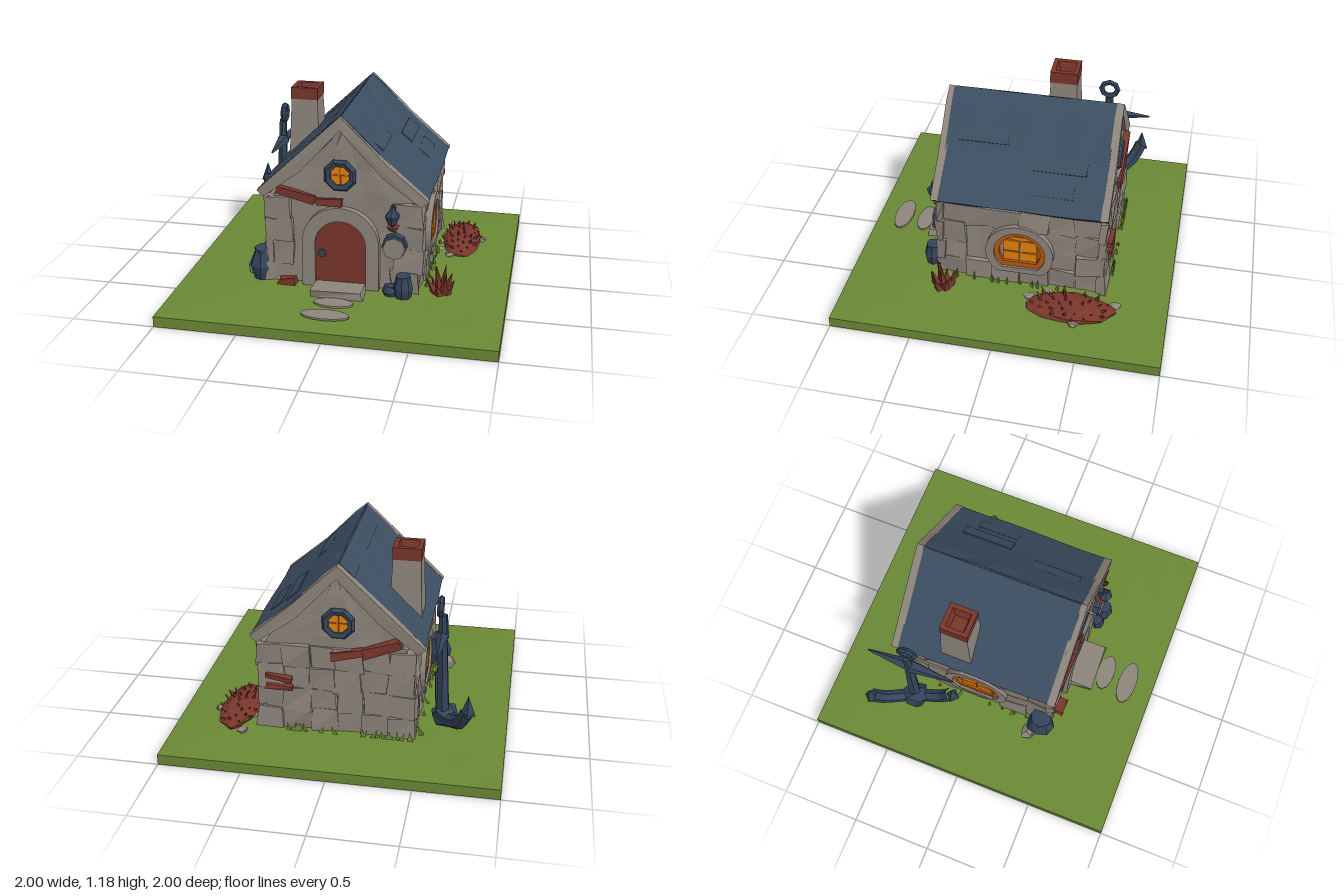
import * as THREE from 'three';

const mat = (name, color, extra = {}) => {
  const m = new THREE.MeshStandardMaterial({ color, flatShading: true, ...extra });
  m.name = name;
  return m;
};
const stone = mat('stone grey', 0x8f867d);
const slate = mat('slate blue', 0x3d4e62);
const iron = mat('dark iron blue', 0x34445a);
const red = mat('brick red', 0x7a362c);
const amber = mat('amber glow', 0xe8830f);
const amberDark = mat('deep amber', 0xb55a0c);
const grass = mat('grass green', 0x6b8935);

// Repeatable pseudo random value for any number
const hash = (n) => {
  const s = Math.sin(n * 127.1 + 3.7) * 43758.5453;
  return s - Math.floor(s);
};

// Roughens a geometry; coincident corners move together
function rough(geo, amount, seed = 0) {
  const p = geo.attributes.position;
  for (let i = 0; i < p.count; i++) {
    const [x, y, z] = [p.getX(i), p.getY(i), p.getZ(i)];
    const k = Math.round(x * 1000) * 0.013 + Math.round(y * 1000) * 0.037 + Math.round(z * 1000) * 0.071 + seed;
    const d = (o) => (hash(k + o) - 0.5) * 2 * amount;
    p.setXYZ(i, x + d(1.3), y + d(5.1), z + d(9.7));
  }
  geo.computeVertexNormals();
  return geo;
}

function add(parent, name, geo, material, x = 0, y = 0, z = 0) {
  const m = new THREE.Mesh(geo, material);
  m.name = name;
  m.position.set(x, y, z);
  parent.add(m);
  return m;
}

const block = (w, h, d, seed, amount = 0.012) => rough(new THREE.BoxGeometry(w, h, d), amount, seed);
const extrude = (shape, depth, steps = 1) =>
  new THREE.ExtrudeGeometry(shape, { depth, steps, bevelEnabled: false, curveSegments: 10 });
const polygon = (pts) => new THREE.Shape(pts.map(([x, y]) => new THREE.Vector2(x, y)));

// Doorway outline with a round top
function arch(w, h) {
  const s = new THREE.Shape();
  s.moveTo(-w, 0).lineTo(w, 0).lineTo(w, h - w).absarc(0, h - w, w, 0, Math.PI, false);
  s.lineTo(-w, 0);
  return s;
}
// Circle with a flat bottom
function flatRound(r, cut) {
  const a = Math.asin(cut / r);
  const s = new THREE.Shape();
  s.absarc(0, 0, r, -a, Math.PI + a, false);
  s.closePath();
  return s;
}
function frame(outer, inner, depth) {
  outer.holes.push(inner);
  return extrude(outer, depth);
}

function ground(g) {
  const geo = new THREE.BoxGeometry(2, 0.066, 2, 10, 1, 10);
  const p = geo.attributes.position;
  for (let i = 0; i < p.count; i++) {
    const edge = Math.max(Math.abs(p.getX(i)), Math.abs(p.getZ(i)));
    if (p.getY(i) > 0) p.setY(i, p.getY(i) + 0.035 * Math.min(1, (1 - edge) * 1.6));
  }
  add(g, 'ground', geo, [grass, grass, grass, stone, grass, grass], 0, 0.033, 0);
  // Path stones
  [[0, 0.67, 0.12, 0.055], [-0.015, 0.825, 0.145, 0.06]].forEach(([x, z, rx, rz]) => {
    add(g, 'pathStone', new THREE.CylinderGeometry(1, 1, 0.012, 14), stone, x, 0.091, z).scale.set(rx, 1, rz);
  });
  add(g, 'doorStep', block(0.32, 0.04, 0.17, 2, 0.01), stone, 0, 0.105, 0.525);
}

function walls(g) {
  // Core with gable ends, narrowing under the roof
  const geo = new THREE.BoxGeometry(1, 1, 1, 6, 8, 8);
  const p = geo.attributes.position;
  for (let i = 0; i < p.count; i++) {
    const y = 0.08 + (p.getY(i) + 0.5) * 1.02;
    const half = y < 0.66 ? 0.45 + 0.02 * (0.66 - y) : 0.45 * (1.11 - y) / 0.45;
    p.setXYZ(i, p.getX(i) * 2 * half + 0.01, y, p.getZ(i) * 1.01 - 0.075);
  }
  add(g, 'wallCore', rough(geo, 0.007), stone);
  // Rough stone slabs on every side, leaving the openings free
  const free = {
    front: (u, y) => Math.abs(u) < 0.25,
    back: () => false,
    side: (u, y) => Math.abs(u) < 0.25 && y > 0.17 && y < 0.52,
  };
  const faces = [['front', 0, 0.01, 0.425, 0.94], ['back', Math.PI, 0.01, -0.575, 0.94],
    ['side', Math.PI / 2, 0.455, -0.07, 1.02], ['side', -Math.PI / 2, -0.435, -0.07, 1.02]];
  faces.forEach(([kind, turn, cx, cz, width], f) => {
    const side = new THREE.Group();
    side.name = kind + 'Stones';
    side.position.set(cx, 0, cz);
    side.rotation.y = turn;
    g.add(side);
    for (let row = 0; row < 4; row++) for (let c = 0; c < 6; c++) {
      const y = 0.155 + row * 0.14, seed = f * 50 + row * 7 + c;
      const u = (c - 2.5) * width / 6 + (hash(seed) - 0.5) * 0.02;
      if (free[kind](u, y)) continue;
      const depth = 0.025 + 0.03 * hash(seed + 0.5) + (3 - row) * 0.005;
      add(side, 'wallStone', block(width / 6 + 0.01, 0.15, depth, seed, 0.013), stone, u, y, 0);
    }
  });
}

function roof(g) {
  const chevron = (t, lift = 0) => polygon([[-0.51, 0.69 + lift], [-0.47, 0.65 + lift],
    [-0.24, 0.895 - t], [0, 1.155 - t], [0.25, 0.885 - t], [0.485, 0.65 + lift], [0.525, 0.69 + lift],
    [0.27, 0.91 + lift], [0.07, 1.11 + lift], [0, 1.172 + lift], [-0.07, 1.11 + lift], [-0.27, 0.92 + lift]]);
  add(g, 'roof', rough(extrude(chevron(0.03), 0.99, 6), 0.004), slate, 0, 0, -0.56);
  [0.42, -0.603].forEach((z) => {
    add(g, 'bargeBoard', rough(extrude(chevron(0.065), 0.045), 0.004), stone, 0, 0, z);
  });
  // Ridge lap and loose slates
  const lap = add(g, 'ridgeLap', new THREE.BoxGeometry(0.12, 0.018, 0.98), slate, -0.045, 1.123, -0.065);
  lap.rotation.z = 0.75;
  [[0.3, -0.28, 0.32], [0.41, -0.25, 0.26], [0.2, 0.2, 0.3]].forEach(([x, z, len]) => {
    const s = add(g, 'looseSlate', new THREE.BoxGeometry(0.09, 0.014, len), slate, x, 1.158 - x * 0.91, z);
    s.rotation.z = -0.7;
  });
}

function chimney(g) {
  const stack = new THREE.CylinderGeometry(0.118, 0.142, 0.4, 4);
  add(g, 'chimneyStack', stack.rotateY(Math.PI / 4), stone, -0.355, 0.9, -0.195);
  // Hollow square cap
  const profile = [[0.07, 0], [0.122, 0], [0.122, 0.075], [0.082, 0.075], [0.06, 0.01], [0, 0.01]];
  const cap = new THREE.LatheGeometry(profile.map(([x, y]) => new THREE.Vector2(x, y)), 4);
  add(g, 'chimneyCap', cap.rotateY(Math.PI / 4), red, -0.355, 1.098, -0.195);
}

function openings(g) {
  // Door in its stone arch
  add(g, 'doorFrame', frame(arch(0.235, 0.52), arch(0.155, 0.435), 0.055), stone, 0, 0.095, 0.42);
  add(g, 'door', extrude(arch(0.157, 0.437), 0.04), red, 0, 0.095, 0.415);
  add(g, 'doorHandle', new THREE.CylinderGeometry(0.026, 0.026, 0.012, 8).rotateX(Math.PI / 2), iron, -0.115, 0.31, 0.458);
  // Gable portholes
  [[0.425, 0], [-0.575, Math.PI]].forEach(([z, turn]) => {
    const w = new THREE.Group();
    w.name = 'gableWindow';
    w.position.set(-0.005, 0.81, z);
    w.rotation.y = turn;
    add(w, 'rim', new THREE.TorusGeometry(0.08, 0.024, 5, 8).rotateZ(Math.PI / 8), iron, 0, 0, 0.015);
    add(w, 'pane', new THREE.CylinderGeometry(0.07, 0.07, 0.03, 8).rotateX(Math.PI / 2), amber);
    for (const r of [0, Math.PI / 2]) add(w, 'bar', new THREE.BoxGeometry(0.13, 0.008, 0.008), amberDark, 0, 0, 0.016).rotation.z = r;
    g.add(w);
  });
  // Large side windows
  [[0.455, 1], [-0.435, -1]].forEach(([x, s]) => {
    const w = new THREE.Group();
    w.name = 'sideWindow';
    w.position.set(x, 0.335, -0.07);
    w.rotation.y = s * Math.PI / 2;
    add(w, 'stoneFrame', frame(flatRound(0.21, 0.15), flatRound(0.16, 0.112), 0.05), stone);
    add(w, 'innerRim', frame(flatRound(0.162, 0.113), flatRound(0.128, 0.075), 0.035), amberDark);
    add(w, 'backPane', extrude(flatRound(0.13, 0.08), 0.014), amberDark);
    for (const px of [-0.054, 0.054]) for (const [py, h] of [[-0.038, 0.062], [0.042, 0.08]])
      add(w, 'pane', new THREE.BoxGeometry(0.1, h, 0.012), amber, px, py, 0.018);
    add(w, 'topPane', new THREE.BoxGeometry(0.12, 0.022, 0.012), amber, 0, 0.1, 0.016);
    g.add(w);
  });
}

function planks(g) {
  const data = [[-0.27, 0.675, 0.452, 0.24, 0.055, -0.25], [-0.07, 0.645, 0.452, 0.16, 0.045, 0.03],
    [-0.26, 0.675, -0.6, 0.24, 0.05, -0.38], [-0.06, 0.62, -0.6, 0.2, 0.05, -0.25],
    [0.35, 0.43, -0.606, 0.16, 0.03, 0.1], [0.35, 0.37, -0.608, 0.16, 0.03, 0]];
  data.forEach(([x, y, z, w, h, r], i) => {
    add(g, 'wallPlank', block(w, h, 0.04, i + 80, 0.007), red, x, y, z).rotation.z = r;
  });
}

function frontDetails(g) {
  // Lantern and round shield on the front wall
  const lantern = [[0, -0.06], [0.03, -0.03], [0.048, 0.015], [0.02, 0.05], [0.012, 0.08], [0, 0.085]];
  add(g, 'lantern', new THREE.LatheGeometry(lantern.map(([x, y]) => new THREE.Vector2(x, y)), 6), iron, 0.32, 0.59, 0.5);
  add(g, 'lanternBracket', new THREE.BoxGeometry(0.025, 0.025, 0.09), iron, 0.32, 0.64, 0.46);
  add(g, 'lanternShelf', new THREE.CylinderGeometry(0.04, 0.025, 0.025, 6), red, 0.32, 0.518, 0.48);
  add(g, 'shieldRim', new THREE.CylinderGeometry(0.076, 0.076, 0.05, 8).rotateX(Math.PI / 2), iron, 0.33, 0.405, 0.472);
  add(g, 'shieldFace', new THREE.CylinderGeometry(0.068, 0.07, 0.03, 8).rotateX(Math.PI / 2), stone, 0.33, 0.395, 0.492);
  // Barrel and pot
  const bulge = (r, h) => new THREE.LatheGeometry([[0, 0], [r * 0.8, 0], [r, h * 0.45], [r * 0.75, h * 0.88], [r * 0.75, h], [0, h]]
    .map(([x, y]) => new THREE.Vector2(x, y)), 8);
  add(g, 'barrel', bulge(0.06, 0.14), iron, 0.39, 0.09, 0.505);
  add(g, 'fallenBucket', rough(bulge(0.045, 0.07), 0.006), iron, 0.31, 0.085, 0.49);
  add(g, 'pot', rough(bulge(0.088, 0.2), 0.008), iron, -0.5, 0.09, 0.39);
  add(g, 'potStone', rough(new THREE.DodecahedronGeometry(0.05), 0.01), stone, -0.575, 0.12, 0.33);
  add(g, 'brokenBrick', block(0.11, 0.05, 0.06, 4), red, -0.33, 0.11, 0.475);
}

function anchor(g) {
  const a = new THREE.Group();
  a.name = 'anchor';
  const V = (x, y, z) => new THREE.Vector3(x, y, z);
  add(a, 'shank', new THREE.CylinderGeometry(0.025, 0.042, 0.66, 6), iron, -0.603, 0.52, -0.45).rotation.z = -0.035;
  add(a, 'ring', new THREE.TorusGeometry(0.052, 0.018, 5, 8).rotateY(Math.PI / 2), iron, -0.578, 0.9, -0.45);
  // Tapered cross stock
  [1, -1].forEach((s) => {
    add(a, 'stock', new THREE.CylinderGeometry(0.006, 0.042, 0.28, 5), iron, -0.592, 0.71, -0.44 + s * 0.14).rotation.x = s * Math.PI / 2;
  });
  const path = new THREE.CatmullRomCurve3([V(-0.775, 0.36, -0.67), V(-0.73, 0.24, -0.61), V(-0.63, 0.17, -0.45),
    V(-0.585, 0.22, -0.27), V(-0.575, 0.33, -0.2)]);
  add(a, 'arms', new THREE.TubeGeometry(path, 10, 0.042, 6), iron);
  [[-0.775, 0.39, -0.67], [-0.575, 0.37, -0.19]].forEach(([x, y, z]) => {
    add(a, 'fluke', new THREE.ConeGeometry(0.045, 0.13, 4), iron, x, y, z);
  });
  add(a, 'crown', rough(new THREE.DodecahedronGeometry(0.085), 0.01), iron, -0.63, 0.175, -0.44);
  g.add(a);
}

// Cluster of pointed leaves or twigs inside an oval
function spikes(g, name, material, count, [cx, cz, rx, rz], [minH, maxH], r, lean, seed) {
  for (let i = 0; i < count; i++) {
    const ang = i * 2.4, d = Math.sqrt((i + 0.5) / count), h = minH + (maxH - minH) * hash(i + seed) * (1.2 - d * 0.6);
    const m = add(g, name, new THREE.ConeGeometry(r, h, 4), material, cx + Math.cos(ang) * d * rx, 0.08 + h * 0.42, cz + Math.sin(ang) * d * rz);
    m.rotation.set(Math.sin(ang) * d * lean, 0, -Math.cos(ang) * d * lean);
  }
}

function scatter(g) {
  const heap = add(g, 'leafHeap', rough(new THREE.IcosahedronGeometry(1, 2), 0.09), red, 0.645, 0.085, -0.42);
  heap.scale.set(0.125, 0.055, 0.26);
  spikes(g, 'leaf', red, 36, [0.645, -0.42, 0.12, 0.25], [0.05, 0.11], 0.025, 0.9, 11);
  spikes(g, 'driedShrub', red, 10, [0.605, 0.39, 0.065, 0.08], [0.1, 0.22], 0.032, 0.5, 31);
  [[0.57, -0.68], [0.59, -0.15], [0.53, -0.25], [0.53, -0.38], [0.77, -0.45], [0.54, -0.5]].forEach(([x, z], i) => {
    add(g, 'pebble', rough(new THREE.DodecahedronGeometry(0.035), 0.006, i), stone, x, 0.085, z).scale.y = 0.5;
  });
  // Grass tufts along the walls
  for (let i = 0; i < 44; i++) {
    const t = hash(i + 60) * 2 - 1, s = i % 4;
    const x = s < 2 ? (s ? 0.51 : -0.49) : t * 0.46;
    const z = s < 2 ? -0.07 + t * 0.5 : -0.625;
    add(g, 'grassTuft', new THREE.ConeGeometry(0.016, 0.04 + 0.04 * hash(i), 3), grass, x, 0.11, z).rotation.z = (hash(i + 9) - 0.5);
  }
}

export function createModel() {
  const g = new THREE.Group();
  g.name = 'cottage';
  [ground, walls, roof, chimney, openings, planks, frontDetails, anchor, scatter].forEach((build) => build(g));
  return g;
}
